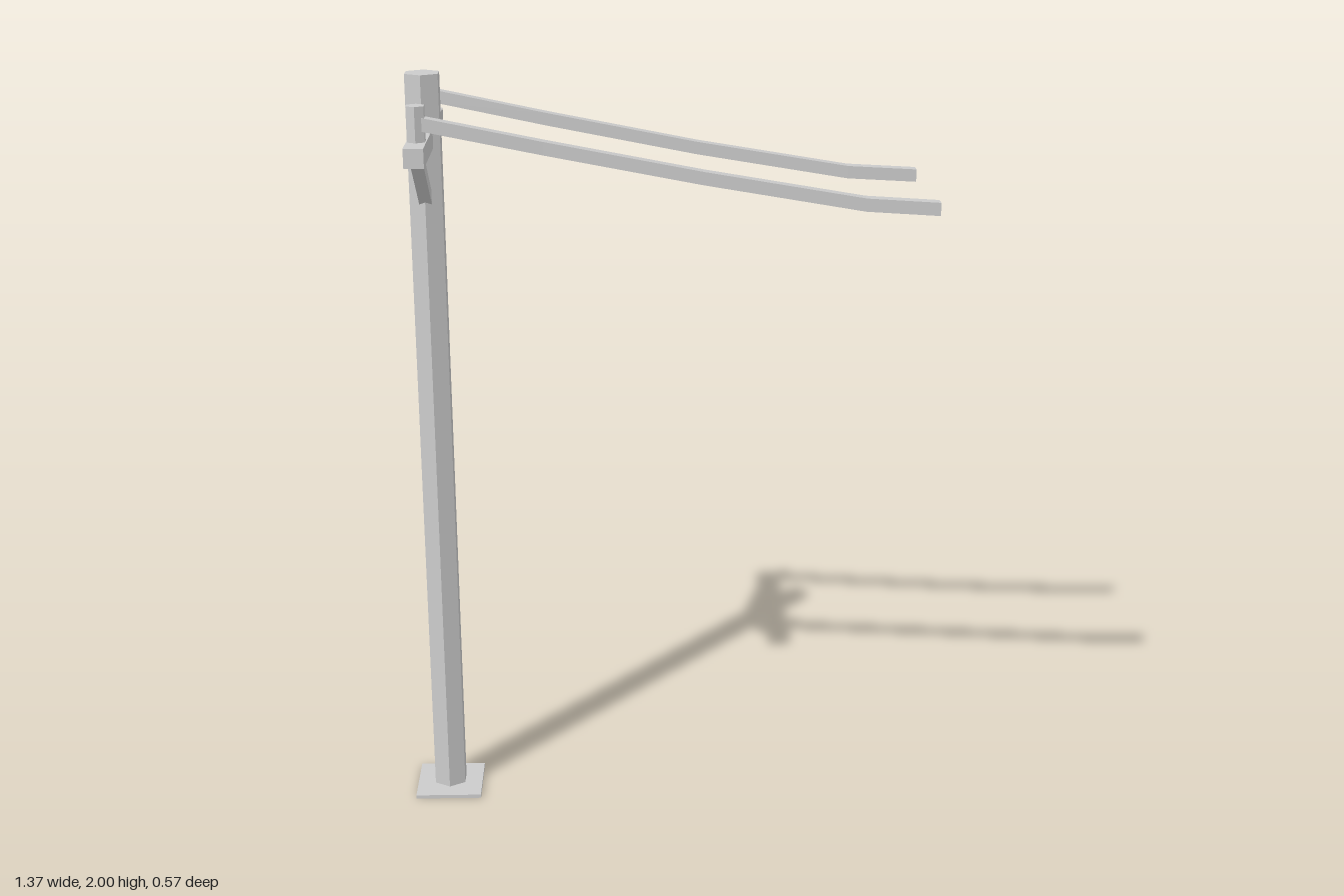
import * as THREE from 'three';

const PX = -0.595; // x of the pole axis
const material = new THREE.MeshStandardMaterial({ color: 0xcccccc, flatShading: true });

function add(group, name, geometry, x, y, z) {
  const mesh = new THREE.Mesh(geometry, material);
  mesh.name = name;
  mesh.position.set(x, y, z);
  group.add(mesh);
  return mesh;
}

// Sagging cable: a square bar whose cross-sections follow the path points (x, y, inward bow)
function cableGeometry(path, size, inward) {
  const n = path.length - 1;
  const geometry = new THREE.BoxGeometry(n, size, size, n, 1, 1);
  const p = geometry.attributes.position;
  for (let i = 0; i < p.count; i++) {
    const [x, y, bow] = path[Math.round(p.getX(i) + n / 2)];
    p.setXYZ(i, x, p.getY(i) + y, p.getZ(i) + bow * inward);
  }
  geometry.computeVertexNormals();
  return geometry;
}

export function createModel() {
  const group = new THREE.Group();

  // Hexagonal pole on a thin square plate
  add(group, 'basePlate', new THREE.BoxGeometry(0.18, 0.01, 0.18), PX, 0.005, -0.002);
  add(group, 'pole', new THREE.CylinderGeometry(0.048, 0.048, 1.99, 6), PX, 1.005, -0.007);

  // Crossarm through the pole
  add(group, 'crossarm', new THREE.BoxGeometry(0.049, 0.048, 0.568), PX, 1.841, -0.001);

  const path = [
    [-0.595, 1.911, 0], [-0.29, 1.848, 0.006], [0.1, 1.772, 0.01],
    [0.5, 1.705, 0.006], [0.683, 1.694, 0.002],
  ];

  for (const side of [1, -1]) {
    const label = side > 0 ? 'front' : 'back';
    const z = side > 0 ? 0.192 : -0.216;

    // Insulator standing on the crossarm, with its cable
    add(group, label + 'Insulator', new THREE.CylinderGeometry(0.025, 0.025, 0.1, 6), PX, 1.902, z);
    add(group, label + 'Cable', cableGeometry(path, 0.033, -side), 0, 0, z);

    // Diagonal brace from the pole up to the crossarm
    const low = new THREE.Vector3(PX, 1.687, -0.007 + side * 0.03);
    const high = new THREE.Vector3(PX, 1.822, -0.007 + side * 0.205);
    const mid = low.clone().lerp(high, 0.5);
    const brace = add(group, label + 'Brace',
      new THREE.BoxGeometry(0.032, 0.03, low.distanceTo(high)), mid.x, mid.y, mid.z);
    brace.lookAt(high);
  }

  return group;
}
